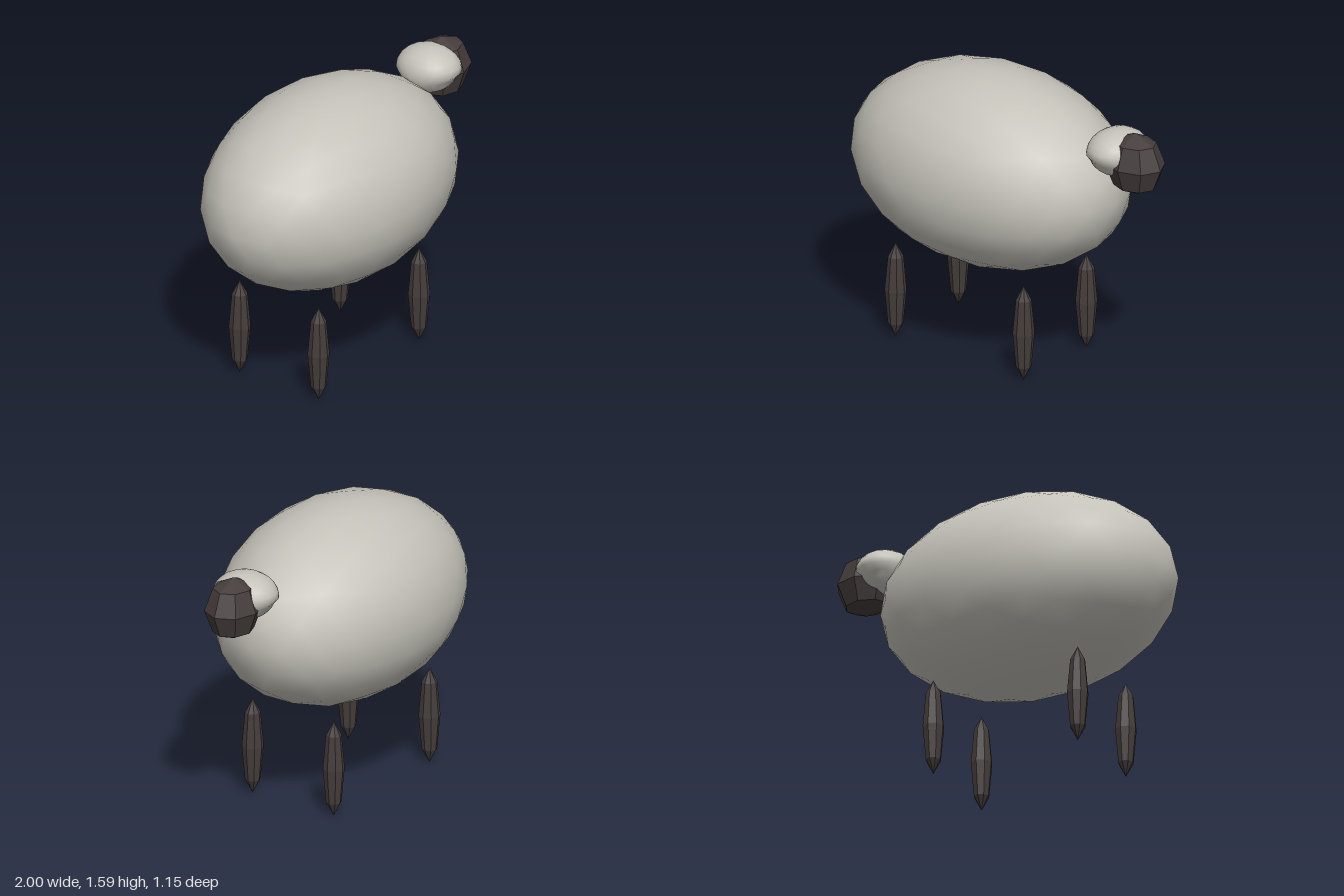
import * as THREE from 'three';
import { mergeVertices } from 'three/addons/utils/BufferGeometryUtils.js';

const wool = new THREE.MeshStandardMaterial({ color: 0xc4c2b9 });
wool.name = 'paleWool';
const skin = new THREE.MeshStandardMaterial({ color: 0x453d3c });
skin.name = 'darkSkin';
// flat facets come from unshared normals, so the material only carries a colour

// Smooth icosphere with a vertex on the y axis, scaled to the given radii
function woolBall(rx, ry, rz, rule) {
  let g = new THREE.IcosahedronGeometry(1, 3);
  g.rotateZ(-Math.atan(2 / (1 + Math.sqrt(5))));
  g.deleteAttribute('uv');
  g.deleteAttribute('normal');
  g = mergeVertices(g, 1e-4);
  if (rule) {
    const p = g.attributes.position;
    const v = new THREE.Vector3();
    for (let i = 0; i < p.count; i++) {
      rule(v.fromBufferAttribute(p, i));
      p.setXYZ(i, v.x, v.y, v.z);
    }
  }
  g.scale(rx, ry, rz);
  g.computeVertexNormals();
  return g;
}

// Coarse eight-sided ellipsoid with flat facets
function facetedBall(rx, ry, rz) {
  const g = new THREE.SphereGeometry(1, 8, 4).scale(rx, ry, rz).toNonIndexed();
  g.computeVertexNormals();
  return g;
}

export function createModel() {
  const model = new THREE.Group();
  model.name = 'sheep';
  const add = (name, geometry, material, x, y, z) => {
    const mesh = new THREE.Mesh(geometry, material);
    mesh.name = name;
    mesh.position.set(x, y, z);
    model.add(mesh);
  };

  // Fleece
  add('body', woolBall(0.845, 0.543, 0.575), wool, -0.155, 1.043, 0);

  // Head and the tuft of wool behind it, tapered on its underside
  add('head', facetedBall(0.175, 0.175, 0.145), skin, 0.825, 1.325, 0);
  const taper = (v) => { if (v.y < -0.05) v.z *= 0.86; };
  add('woolTuft', woolBall(0.16, 0.13, 0.184, taper), wool, 0.71, 1.362, 0);

  // Spindle legs
  const legShape = facetedBall(0.059, 0.273, 0.059);
  for (const [end, x] of [['front', 0.28], ['back', -0.593]]) {
    for (const [side, z] of [['Right', 0.263], ['Left', -0.263]]) {
      add(`${end}${side}Leg`, legShape, skin, x, 0.273, z);
    }
  }
  return model;
}
